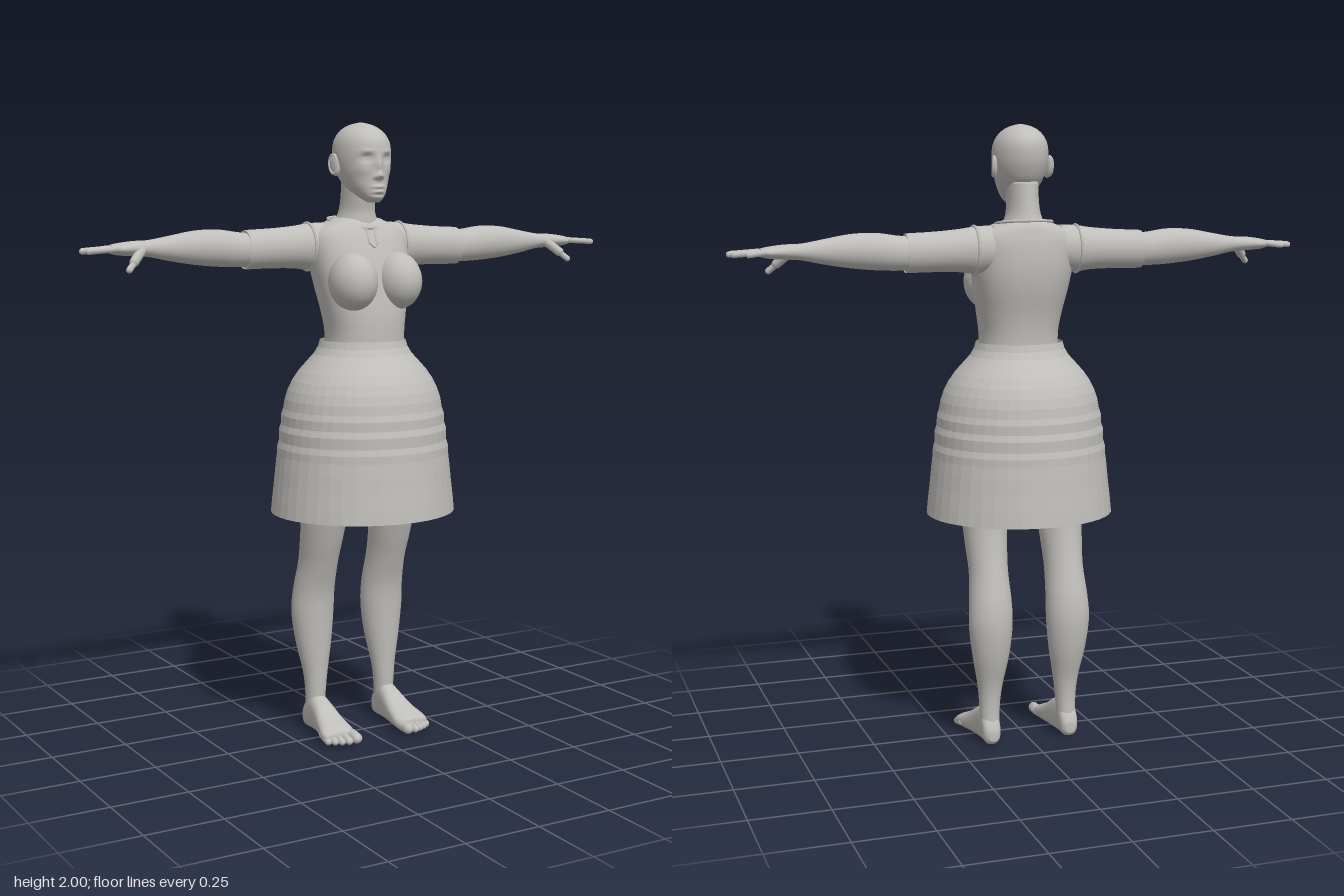
import * as THREE from 'three';

const V = (x, y, z) => new THREE.Vector3(x, y, z);

// Smooth Catmull-Rom value of every column of a key table at position u
function sample(keys, u) {
  const n = keys.length - 1, i = Math.min(Math.floor(u), n - 1), f = u - i;
  const k = (j) => keys[Math.max(0, Math.min(n, j))];
  return keys[0].map((_, c) => {
    const a = k(i - 1)[c], b = k(i)[c], d = k(i + 1)[c], e = k(i + 2)[c];
    return b + 0.5 * f * (d - a + f * (2 * a - 5 * b + 4 * d - e + f * (3 * (b - d) + e - a)));
  });
}

// Closed skin over oval sections. Key: [t, aMin, aMax, bMin, bMax]
// axis y: a = x, b = z;  axis x: a = z, b = y;  axis z: a = y, b = x
function loft(axis, keys, { segs = 32, steps = 5, power = 2, warp } = {}) {
  const place = {
    x: (t, a, b) => V(t, b, a), y: (t, a, b) => V(a, t, b), z: (t, a, b) => V(b, a, t),
  }[axis];
  const pos = [], idx = [], rows = (keys.length - 1) * steps;
  const bend = (v) => Math.sign(v) * Math.abs(v) ** (2 / power);
  const put = (p) => { if (warp) warp(p); pos.push(p.x, p.y, p.z); };
  for (let r = 0; r <= rows; r++) {
    const [t, a0, a1, b0, b1] = sample(keys, r / steps);
    for (let s = 0; s < segs; s++) {
      const w = (s / segs) * Math.PI * 2;
      put(place(t, (a0 + a1) / 2 + (a1 - a0) / 2 * bend(Math.cos(w)),
        (b0 + b1) / 2 + (b1 - b0) / 2 * bend(Math.sin(w))));
      if (r < rows) {
        const p = r * segs + s, q = r * segs + (s + 1) % segs;
        idx.push(p, p + segs, q, q, p + segs, q + segs);
      }
    }
  }
  // end caps
  for (const r of [0, rows]) {
    const [t, a0, a1, b0, b1] = keys[r ? keys.length - 1 : 0], c = pos.length / 3;
    put(place(t, (a0 + a1) / 2, (b0 + b1) / 2));
    for (let s = 0; s < segs; s++) {
      const p = r * segs + s, q = r * segs + (s + 1) % segs;
      r ? idx.push(c, q, p) : idx.push(c, p, q);
    }
  }
  const g = new THREE.BufferGeometry();
  g.setAttribute('position', new THREE.Float32BufferAttribute(pos, 3));
  g.setIndex(idx);
  g.computeVertexNormals();
  return g;
}

function ball(x, y, z, rx, ry, rz) {
  return new THREE.SphereGeometry(1, 32, 20).scale(rx, ry, rz).translate(x, y, z);
}

// Rounded rod between two points
function rod(p, q, r) {
  const d = q.clone().sub(p), m = p.clone().add(q).multiplyScalar(0.5);
  const turn = new THREE.Quaternion().setFromUnitVectors(V(0, 1, 0), d.clone().normalize());
  return new THREE.CapsuleGeometry(r, d.length(), 5, 10).applyQuaternion(turn).translate(m.x, m.y, m.z);
}

function mirrored(geo) {
  const g = geo.clone().scale(-1, 1, 1), i = g.index.array;
  for (let k = 0; k < i.length; k += 3) [i[k], i[k + 1]] = [i[k + 1], i[k]];
  g.computeVertexNormals();
  return g;
}

export function createModel() {
  const model = new THREE.Group();
  model.name = 'figure';
  const grey = new THREE.MeshStandardMaterial({ color: 0xc0beba, side: THREE.DoubleSide });
  grey.name = 'plainGrey';
  const add = (name, geo) => {
    const m = new THREE.Mesh(geo, grey);
    m.name = name;
    model.add(m);
  };
  const pair = (name, geo) => { add(name + 'Left', geo); add(name + 'Right', mirrored(geo)); };
  const even = (rows) => rows.map(([y, r, back, front]) => [y, -r, r, back, front]);

  // Head with sculpted face: [x, y, depth, width, height]
  const face = [
    [0, 1.832, 0.02, 0.011, 0.011], [0, 1.862, 0.011, 0.009, 0.022],
    [0.013, 1.828, 0.007, 0.006, 0.006], [0.036, 1.886, -0.013, 0.017, 0.011],
    [0.036, 1.885, 0.006, 0.012, 0.005], [0.036, 1.908, 0.004, 0.02, 0.006],
    [0, 1.797, 0.008, 0.018, 0.005], [0, 1.782, 0.008, 0.015, 0.005],
    [0, 1.772, -0.004, 0.02, 0.004], [0.05, 1.85, 0.004, 0.018, 0.016],
  ];
  const sculpt = (p) => {
    if (p.z < 0.02) return;
    const { x, y } = p;
    for (const [fx, fy, d, w, h] of face)
      for (const s of fx ? [-1, 1] : [1])
        p.z += d * Math.exp(-(((x - s * fx) / w) ** 2) - ((y - fy) / h) ** 2);
  };
  add('head', loft('y', even([
    [1.748, 0.018, 0.045, 0.082], [1.765, 0.037, 0, 0.1], [1.79, 0.057, -0.05, 0.1],
    [1.82, 0.072, -0.09, 0.098], [1.86, 0.084, -0.112, 0.098], [1.9, 0.088, -0.122, 0.1],
    [1.94, 0.083, -0.12, 0.093], [1.97, 0.066, -0.1, 0.068], [1.99, 0.039, -0.066, 0.03],
    [2, 0.004, -0.022, -0.012],
  ]), { segs: 96, steps: 9, warp: sculpt }));
  pair('ear', ball(0, 0, 0, 0.009, 0.036, 0.022).rotateX(-0.2).rotateY(-0.25).translate(0.089, 1.866, -0.026));
  pair('earRim', new THREE.TorusGeometry(0.024, 0.004, 8, 24).scale(0.75, 1.25, 1)
    .rotateY(Math.PI / 2 - 0.3).rotateX(-0.2).translate(0.094, 1.868, -0.028));
  add('neck', loft('y', even([
    [1.62, 0.08, -0.13, 0.03], [1.68, 0.068, -0.126, 0.032], [1.72, 0.054, -0.116, 0.03],
    [1.76, 0.05, -0.108, 0.036], [1.82, 0.05, -0.1, 0.04],
  ])));

  // Torso, running on down to the hips under the skirt
  add('torso', loft('y', even([
    [0.92, 0.05, -0.07, 0.03], [0.97, 0.15, -0.13, 0.08], [1.06, 0.185, -0.16, 0.1],
    [1.17, 0.165, -0.14, 0.11], [1.26, 0.135, -0.112, 0.12], [1.33, 0.127, -0.11, 0.123],
    [1.4, 0.137, -0.12, 0.12], [1.48, 0.153, -0.14, 0.107], [1.55, 0.165, -0.15, 0.092],
    [1.62, 0.17, -0.148, 0.066], [1.66, 0.155, -0.14, 0.046], [1.685, 0.105, -0.132, 0.03],
    [1.7, 0.06, -0.12, 0.015],
  ]), { segs: 48, power: 2.3 }));
  pair('breast', ball(0, 0, 0, 0.076, 0.092, 0.088).rotateX(-0.25).translate(0.082, 1.5, 0.077));

  // Neckline and front placket
  add('neckline', new THREE.TubeGeometry(new THREE.CatmullRomCurve3([
    V(0, 1.667, 0.042), V(0.06, 1.676, 0.012), V(0.092, 1.69, -0.05), V(0.065, 1.698, -0.108),
    V(0, 1.7, -0.124), V(-0.065, 1.698, -0.108), V(-0.092, 1.69, -0.05), V(-0.06, 1.676, 0.012),
  ], true), 64, 0.005, 8, true));
  pair('placketEdge', rod(V(0.015, 1.668, 0.04), V(0.013, 1.62, 0.066), 0.004));
  pair('placketTip', rod(V(0.013, 1.62, 0.066), V(0, 1.608, 0.071), 0.004));

  // Sleeves, arms and hands
  pair('sleeve', loft('x', [
    [0.11, -0.125, 0, 1.54, 1.685], [0.17, -0.13, 0, 1.534, 1.682], [0.22, -0.124, -0.004, 1.54, 1.675],
    [0.3, -0.12, -0.008, 1.542, 1.668], [0.385, -0.117, -0.01, 1.541, 1.664], [0.39, -0.115, -0.012, 1.543, 1.662],
  ]));
  pair('armholeSeam', new THREE.TorusGeometry(0.07, 0.005, 8, 32).rotateY(Math.PI / 2)
    .scale(1, 1.07, 0.93).translate(0.17, 1.608, -0.065));
  pair('arm', loft('x', [
    [0.36, -0.108, -0.018, 1.55, 1.652], [0.42, -0.109, -0.016, 1.549, 1.658], [0.49, -0.111, -0.012, 1.552, 1.667],
    [0.57, -0.106, -0.015, 1.56, 1.664], [0.65, -0.096, -0.024, 1.573, 1.65], [0.72, -0.09, -0.032, 1.587, 1.638],
    [0.77, -0.097, -0.02, 1.59, 1.636], [0.82, -0.102, -0.014, 1.594, 1.63], [0.845, -0.096, -0.018, 1.6, 1.624],
  ]));
  const fingers = [[-0.024, 0.925, -0.016], [-0.046, 0.935, -0.044], [-0.068, 0.925, -0.07], [-0.09, 0.885, -0.1]];
  fingers.forEach(([z, tip, zt], i) =>
    pair('finger' + (i + 1), rod(V(0.825, 1.615, z), V(tip, 1.608, zt), 0.0095)));
  pair('thumbBase', rod(V(0.75, 1.608, -0.035), V(0.785, 1.575, -0.008), 0.015));
  pair('thumb', rod(V(0.78, 1.578, -0.01), V(0.808, 1.552, 0.008), 0.01));

  // Skirt with crisp facets
  const profile = [
    [0.305, 0.75], [0.3, 0.8], [0.294, 0.85], [0.289, 0.9], [0.284, 0.94], [0.283, 0.965], [0.277, 0.985],
    [0.277, 1.02], [0.27, 1.04], [0.269, 1.07], [0.262, 1.09], [0.257, 1.12], [0.247, 1.15],
    [0.232, 1.18], [0.211, 1.21], [0.184, 1.24], [0.161, 1.265], [0.148, 1.287], [0.141, 1.31],
  ].map(([r, y]) => new THREE.Vector2(r, y));
  const skirt = new THREE.LatheGeometry(profile, 44).scale(1, 1, 0.94).translate(0, 0, -0.004).toNonIndexed();
  skirt.computeVertexNormals();
  add('skirt', skirt);

  // Legs and feet
  pair('leg', loft('y', [
    [0.06, 0.102, 0.164, -0.13, -0.06], [0.13, 0.098, 0.166, -0.128, -0.055], [0.2, 0.089, 0.173, -0.136, -0.053],
    [0.3, 0.071, 0.192, -0.163, -0.048], [0.4, 0.061, 0.204, -0.176, -0.043], [0.48, 0.062, 0.2, -0.17, -0.033],
    [0.57, 0.066, 0.193, -0.148, -0.004], [0.65, 0.062, 0.197, -0.13, 0.025], [0.75, 0.052, 0.203, -0.118, 0.055],
    [0.88, 0.022, 0.21, -0.13, 0.08], [1.02, 0.012, 0.195, -0.14, 0.09],
  ]));
  pair('foot', loft('z', [
    [-0.142, 0.015, 0.05, 0.118, 0.148], [-0.125, 0.001, 0.085, 0.105, 0.163], [-0.085, 0, 0.125, 0.101, 0.166],
    [-0.035, 0, 0.108, 0.094, 0.172], [0.02, 0, 0.075, 0.086, 0.185], [0.07, 0.001, 0.053, 0.08, 0.197],
    [0.1, 0.004, 0.038, 0.086, 0.192],
  ], { power: 2.5 }));
  const toes = [[0.096, 0.128, 0.018], [0.124, 0.128, 0.013], [0.146, 0.12, 0.012], [0.166, 0.11, 0.012], [0.184, 0.097, 0.012]];
  toes.forEach(([x, tip, r], i) =>
    pair('toe' + (i + 1), rod(V(x, 0.024, tip - 0.045), V(x + 0.002, r + 0.003, tip), r)));

  return model;
}
